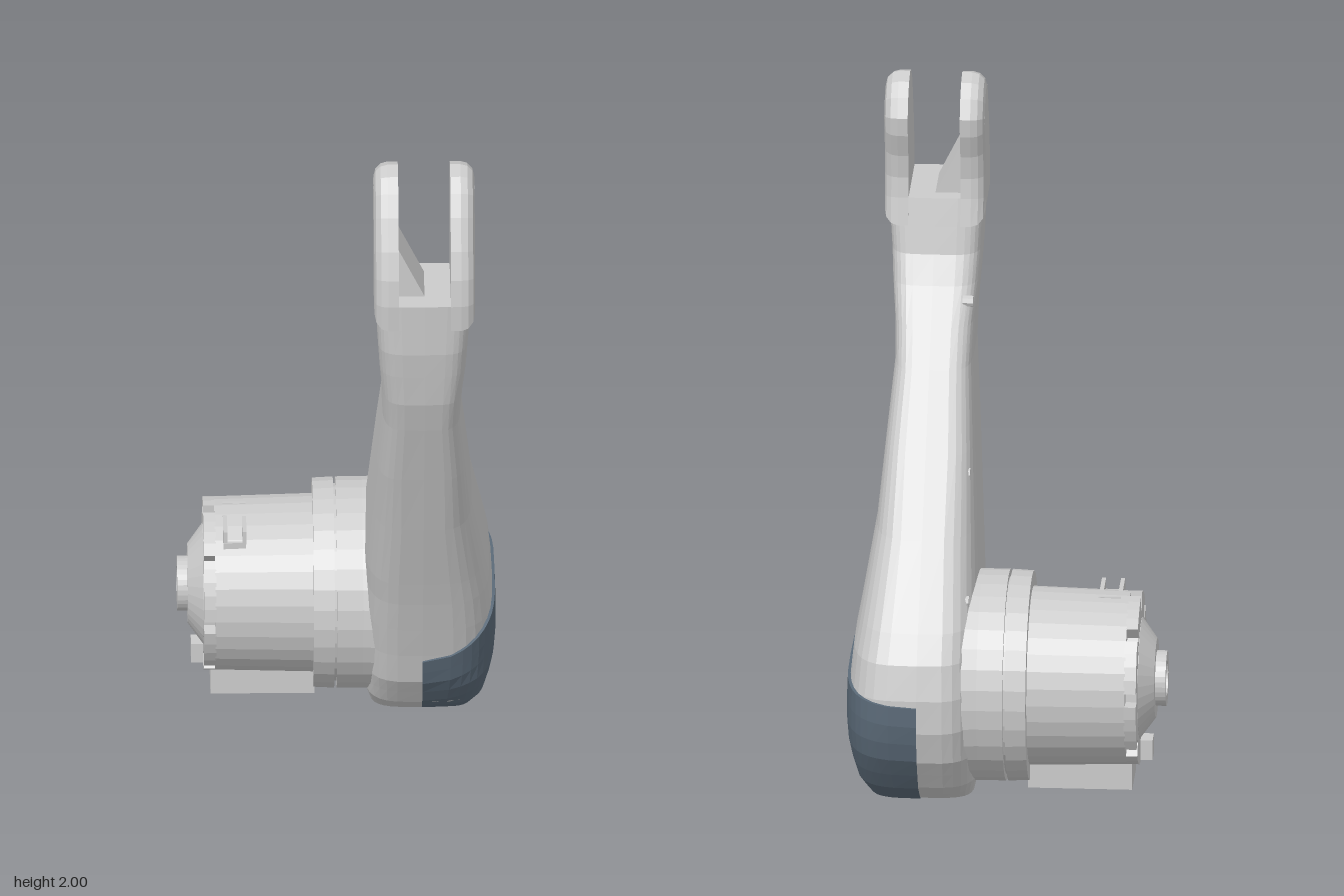
import * as THREE from 'three';

const SEAM = 0.24; // x of the split line of the arm

// arm sections: y, front z, back z, width to the right of the seam (-x), width to the left (+x)
const SECTIONS = [
  [0.00, -0.17, -0.23, 0.10, 0.11],
  [0.03, -0.06, -0.34, 0.15, 0.14],
  [0.10, 0.045, -0.445, 0.165, 0.175],
  [0.20, 0.115, -0.515, 0.17, 0.20],
  [0.30, 0.146, -0.545, 0.17, 0.207],
  [0.40, 0.18, -0.545, 0.17, 0.205],
  [0.50, 0.215, -0.52, 0.165, 0.195],
  [0.58, 0.245, -0.47, 0.165, 0.18],
  [0.80, 0.33, -0.29, 0.15, 0.142],
  [1.20, 0.48, 0.04, 0.12, 0.105],
  [1.30, 0.515, 0.12, 0.122, 0.11],
  [1.40, 0.535, 0.20, 0.13, 0.12],
  [1.48, 0.55, 0.245, 0.135, 0.125],
  [1.64, 0.56, 0.28, 0.142, 0.137],
];

function sectionAt(y) {
  let i = 1;
  while (i < SECTIONS.length - 1 && SECTIONS[i][0] < y) i++;
  const a = SECTIONS[i - 1], b = SECTIONS[i];
  const t = (y - a[0]) / (b[0] - a[0]);
  return a.map((v, k) => v + (b[k] - v) * t);
}

// point of the arm skin at a height and an angle around the section
function skin(y, angle, grow = 0) {
  const [, zf, zb, wr, wl] = sectionAt(y);
  const c = Math.cos(angle), s = Math.sin(angle);
  const e = y > 0.8 ? 0.45 : 0.52;
  const round = (v) => Math.sign(v) * Math.pow(Math.abs(v), e);
  return [
    SEAM + ((c > 0 ? wl : wr) + grow) * round(c),
    y,
    (zf + zb) / 2 + ((zf - zb) / 2 + grow) * round(s),
  ];
}

// joins rows of points from bottom to top into a skin, with optional end caps
function loft(rows, capped) {
  const n = rows[0].length, pos = rows.flat(2), idx = [];
  for (let i = 0; i < rows.length - 1; i++) {
    for (let j = 0; j < n - 1; j++) {
      const a = i * n + j, b = a + n;
      idx.push(a, b, a + 1, b, b + 1, a + 1);
    }
  }
  if (capped) {
    [0, rows.length - 1].forEach((r) => {
      const centre = pos.length / 3, row = rows[r];
      pos.push(...[0, 1, 2].map((k) => row.slice(1).reduce((t, p) => t + p[k], 0) / (n - 1)));
      for (let j = 0; j < n - 1; j++) {
        const a = r * n + j;
        idx.push(centre, r ? a + 1 : a, r ? a : a + 1);
      }
    });
  }
  const g = new THREE.BufferGeometry();
  g.setAttribute('position', new THREE.Float32BufferAttribute(pos, 3));
  g.setIndex(idx);
  g.computeVertexNormals();
  return g;
}

const range = (n, f) => Array.from({ length: n + 1 }, (_, i) => f(i / n));

// one side of the fork; side is +1 or -1 along x
function prongGeometry(side) {
  const outline = [
    [0.555, 1.56], [0.56, 1.64], [0.55, 1.72], [0.525, 1.8], [0.485, 1.89], [0.45, 1.95], [0.41, 1.985],
    [0.36, 2.0], [0.31, 1.985], [0.27, 1.95], [0.245, 1.895], [0.25, 1.84], [0.275, 1.77],
    [0.285, 1.7], [0.28, 1.64], [0.265, 1.56],
  ];
  const shape = new THREE.Shape(outline.map(([z, y]) => new THREE.Vector2(-side * z, y)));
  shape.holes.push(new THREE.Path(range(6, (t) => new THREE.Vector2(
    -side * 0.36 + 0.036 * Math.cos(t * 2 * Math.PI), 1.88 + 0.036 * Math.sin(t * 2 * Math.PI))).slice(0, 6)));
  const g = new THREE.ExtrudeGeometry(shape, {
    depth: 0.03, bevelThickness: 0.04, bevelSize: 0.04, bevelOffset: -0.04, bevelSegments: 3,
  });
  // keep the inner face flat, round only the outer face
  const p = g.attributes.position;
  for (let i = 0; i < p.count; i++) p.setZ(i, Math.max(p.getZ(i), 0) + 0.075);
  g.rotateY(side * Math.PI / 2).translate(SEAM, 0, 0);
  g.computeVertexNormals();
  return g;
}

export function createModel() {
  const model = new THREE.Group();
  model.name = 'legLink';
  const grey = new THREE.MeshStandardMaterial({ color: 0xcccccc, flatShading: true, side: THREE.DoubleSide });
  const dark = new THREE.MeshStandardMaterial({ color: 0x5b6a78, flatShading: true, side: THREE.DoubleSide });
  const add = (name, geometry, material = grey, parent = model) => {
    const m = new THREE.Mesh(geometry, material);
    m.name = name;
    parent.add(m);
    return m;
  };

  // tapered arm
  const heights = [0.012, 0.03, 0.06, 0.1, 0.15, 0.2, 0.3, 0.4, 0.5, 0.58, 0.8, 1, 1.2, 1.3, 1.4, 1.48, 1.56, 1.64];
  add('arm', loft(heights.map((y) => range(32, (t) => skin(y, t * 2 * Math.PI))), true));

  // dark foot cover wrapped around the outer half of the lower end
  const rim = (a) => {
    const base = Math.sin(a) > 0 ? 0.28 : 0.38;
    return base + (0.41 - base) * Math.max(Math.cos(a), 0);
  };
  const coverRows = [0, 0.04, 0.08, 0.16, 0.26, 0.4, 0.55, 0.7, 0.85, 1].map((v) =>
    range(20, (t) => {
      const a = (t - 0.5) * Math.PI;
      return skin(v * rim(a), a, 0.008);
    }));
  // close the underside and fold the rim back onto the arm
  coverRows.unshift(coverRows[0].map(() => [SEAM, 0, -0.2]));
  coverRows.push(range(20, (t) => skin(rim((t - 0.5) * Math.PI), (t - 0.5) * Math.PI, -0.01)));
  add('footCover', loft(coverRows, false), dark);

  // fork with the pivot holes
  add('forkLeft', prongGeometry(1));
  add('forkRight', prongGeometry(-1));
  const wedge = new THREE.Shape([[0.16, 1.62], [0.24, 1.64], [0.165, 1.79], [0.16, 1.79]]
    .map(([x, y]) => new THREE.Vector2(x, y)));
  add('forkRib', new THREE.ExtrudeGeometry(wedge, { depth: 0.16, bevelEnabled: false }).translate(0, 0, 0.33));

  // screws along the back edge of the arm
  [[0.115, 0.64, -0.35], [0.127, 0.94, -0.1], [0.137, 1.36, 0.19]].forEach((p) => {
    add('armScrew', new THREE.CylinderGeometry(0.017, 0.017, 0.03, 8).rotateZ(Math.PI / 2)).position.set(...p);
  });

  // motor, turned about the x axis
  const motor = new THREE.Group();
  motor.name = 'motor';
  motor.position.set(0, 0.363, -0.203);
  model.add(motor);
  const turned = (name, profile) => add(name, new THREE.LatheGeometry(
    profile.map(([r, x]) => new THREE.Vector2(r, -x)), 32).rotateZ(Math.PI / 2), grey, motor);

  turned('mountFlange', [
    [0.31, 0.16], [0.305, 0.07], [0.305, -0.005], [0.285, -0.005], [0.285, -0.012],
    [0.305, -0.012], [0.302, -0.072], [0.25, -0.072]]);
  turned('motorCan', [[0.258, -0.06], [0.25, -0.355], [0.17, -0.355]]);
  turned('endCone', [
    [0.175, -0.35], [0.175, -0.388], [0.115, -0.432], [0.08, -0.432], [0.08, -0.462],
    [0.05, -0.462], [0.05, -0.438], [0, -0.438]]);

  // notched end ring
  const ring = new THREE.Shape();
  const NOTCHES = 8;
  for (let i = 0; i < NOTCHES; i++) {
    const at = (r, t) => {
      const a = (i + t) / NOTCHES * 2 * Math.PI;
      ring[i || t ? 'lineTo' : 'moveTo'](r * Math.cos(a), r * Math.sin(a));
    };
    [0, 0.2, 0.4, 0.6, 0.8].forEach((t) => at(0.25, t));
    at(0.205, 0.8);
    at(0.205, 0.999);
  }
  ring.holes.push(new THREE.Path().absarc(0, 0, 0.165, 0, Math.PI * 2, true));
  add('endRing', new THREE.ExtrudeGeometry(ring, { depth: 0.035, bevelEnabled: false, curveSegments: 16 })
    .rotateY(-Math.PI / 2).translate(-0.352, 0, 0), grey, motor);

  // cable housing below the can, with its tab
  const box = (name, w, h, d, x, y, z) =>
    add(name, new THREE.BoxGeometry(w, h, d), grey, motor).position.set(x, y, z);
  box('cableHousing', 0.3, 0.1, 0.18, -0.217, -0.262, 0);
  box('cableTab', 0.06, 0.06, 0.06, -0.392, -0.212, 0);
  // raised frame of the connector on top of the can
  [-0.325, -0.27].forEach((x) => box('connectorFrame', 0.012, 0.04, 0.18, x, 0.225, 0.07));
  [-0.015, 0.155].forEach((z) => box('connectorFrame', 0.065, 0.04, 0.012, -0.2975, z > 0 ? 0.19 : 0.232, z));

  return model;
}
